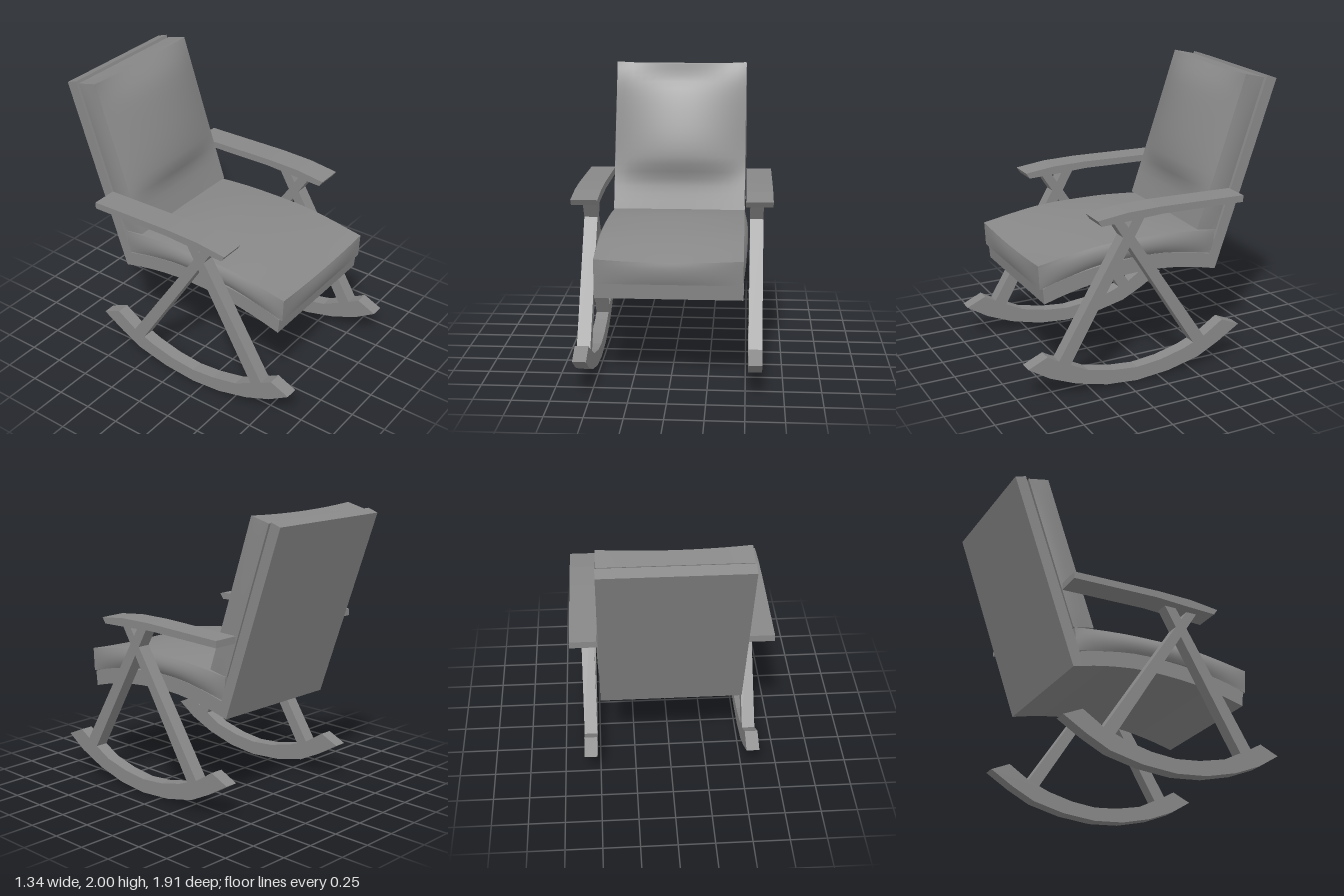
import * as THREE from 'three';

const material = new THREE.MeshStandardMaterial({ color: 0x888888 });
const vectors = (pts) => pts.map(([z, y]) => new THREE.Vector2(z, y));
const smooth = (pts, n) => new THREE.SplineCurve(vectors(pts)).getPoints(n);

function addMesh(parent, name, geometry) {
  const mesh = new THREE.Mesh(geometry, material);
  mesh.name = name;
  parent.add(mesh);
}

// Side profile of Vector2(z, y), extruded across x around a centre
function slab(profile, centreX, width) {
  const geo = new THREE.ExtrudeGeometry(new THREE.Shape(profile), { depth: width, bevelEnabled: false });
  geo.rotateY(-Math.PI / 2);
  geo.translate(centreX + width / 2, 0, 0);
  return geo;
}

// Padded block between an underside curve and a face that swells from its
// edge curve to its middle curve, all given in (z, y)
function cushion({ under, edge, middle, halfWidth, bulge, endBulge }) {
  const geo = new THREE.BoxGeometry(2, 1, 1, 16, 8, 20);
  const [low, side, centre] = [under, edge, middle].map((pts) => new THREE.SplineCurve(vectors(pts)));
  const pos = geo.attributes.position;
  for (let i = 0; i < pos.count; i++) {
    const u = pos.getX(i);
    const t = pos.getY(i) + 0.5;
    const s = THREE.MathUtils.clamp(pos.getZ(i) + 0.5, 0, 1);
    const across = 1 - u * u;
    const round = 4 * t * (1 - t);
    const base = low.getPointAt(s);
    const top = side.getPointAt(s).lerp(centre.getPointAt(s), across);
    const out = top.clone().sub(base).normalize();
    const along = new THREE.Vector2(out.y, -out.x);
    const p = base.lerp(top, t).addScaledVector(along, endBulge * across * round * (2 * s - 1));
    const x = u * (halfWidth + bulge * round * Math.sqrt(Math.max(Math.sin(Math.PI * s), 0)));
    pos.setXYZ(i, x, p.y, p.x);
  }
  geo.computeVertexNormals();
  return geo;
}

const ROCKER = [
  [0.955, 0.255], [0.806, 0.16], [0.615, 0.08], [0.39, 0.022], [0.165, 0.002],
  [-0.08, 0.022], [-0.31, 0.075], [-0.47, 0.155], [-0.635, 0.255], [-0.5, 0.315],
  [-0.355, 0.222], [-0.195, 0.16], [-0.015, 0.117], [0.165, 0.1], [0.34, 0.117],
  [0.53, 0.16], [0.74, 0.268], [0.82, 0.315],
];
const FRONT_LEG = [[0.74, 0.265], [0.66, 0.217], [0.106, 1.18], [0.19, 1.18]];
const REAR_LEG = [[-0.355, 0.222], [-0.275, 0.185], [0.35, 1.172], [0.275, 1.172]];
const ARM = [
  [0.483, 1.21], [0.27, 1.235], [0.03, 1.24], [-0.6, 1.225],
  [-0.6, 1.178], [0.01, 1.19], [0.245, 1.178], [0.456, 1.17],
];

export function createModel() {
  const chair = new THREE.Group();
  chair.name = 'rockingChair';

  // Curved seat board running into the leaning back board
  const board = [
    ...smooth([[0.78, 0.63], [0.6, 0.677], [0.34, 0.72], [0, 0.733], [-0.285, 0.702], [-0.508, 0.652]], 14),
    ...vectors([[-0.957, 1.95], [-0.882, 1.975]]),
    ...smooth([[-0.465, 0.767], [-0.26, 0.812], [0, 0.842], [0.34, 0.828], [0.615, 0.787], [0.79, 0.737]], 14),
  ];
  addMesh(chair, 'seatAndBackBoard', slab(board, 0, 0.965));

  // Seat cushion, listed back to front
  addMesh(chair, 'seatCushion', cushion({
    under: [[-0.485, 0.768], [-0.25, 0.815], [0, 0.842], [0.4, 0.83], [0.81, 0.735]],
    edge: [[-0.5, 0.935], [-0.25, 0.96], [0, 0.972], [0.4, 0.965], [0.818, 0.9]],
    middle: [[-0.5, 0.935], [-0.25, 0.98], [0, 1], [0.35, 0.985], [0.6, 0.945], [0.818, 0.883]],
    halfWidth: 0.48, bulge: 0.026, endBulge: 0.012,
  }));

  // Back cushion, listed top to bottom
  addMesh(chair, 'backCushion', cushion({
    under: [[-0.86, 1.965], [-0.685, 1.45], [-0.51, 0.935]],
    edge: [[-0.715, 2], [-0.54, 1.48], [-0.362, 0.96]],
    middle: [[-0.722, 1.985], [-0.592, 1.85], [-0.47, 1.55], [-0.41, 1.31], [-0.425, 1.17], [-0.367, 0.96]],
    halfWidth: 0.478, bulge: 0.008, endBulge: 0,
  }));

  // Mirrored side frames
  for (const side of [1, -1]) {
    const frame = new THREE.Group();
    frame.name = side > 0 ? 'leftFrame' : 'rightFrame';
    addMesh(frame, 'rocker', slab(vectors(ROCKER), side * 0.563, 0.09));
    addMesh(frame, 'frontLeg', slab(vectors(FRONT_LEG), side * 0.563, 0.09));
    addMesh(frame, 'rearLeg', slab(vectors(REAR_LEG), side * 0.563, 0.09));
    addMesh(frame, 'armrest', slab(vectors(ARM), side * 0.58, 0.18));
    chair.add(frame);
  }
  return chair;
}
